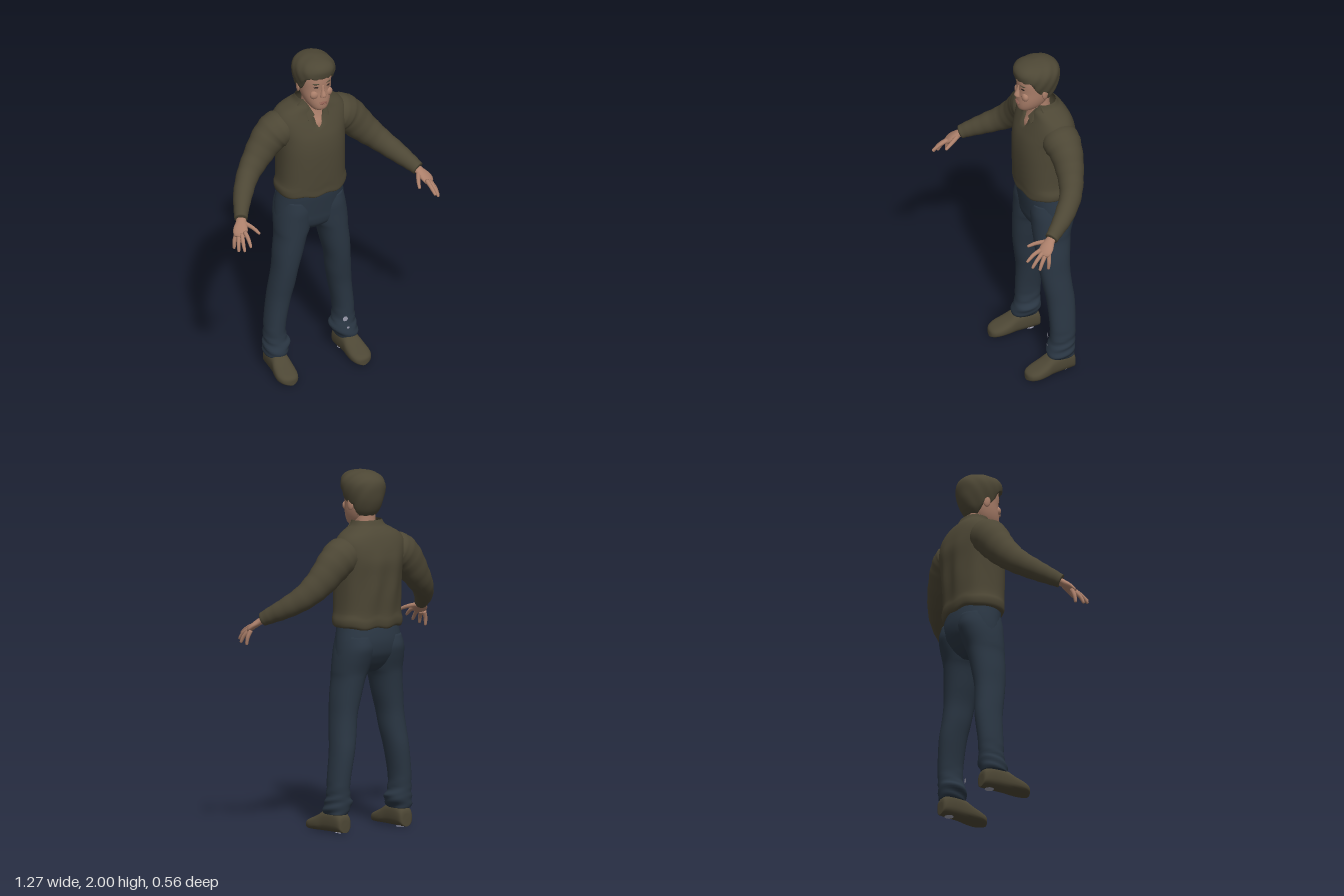
import * as THREE from 'three';

const mat = (name, color, side = THREE.FrontSide) => {
  const m = new THREE.MeshStandardMaterial({ color, side });
  m.name = name;
  return m;
};
const V = (x, y, z) => new THREE.Vector3(x, y, z);

// Catmull-Rom resampling of rows of section numbers
function smoothRows(rows, steps = 4) {
  const out = [], at = i => rows[Math.max(0, Math.min(rows.length - 1, i))];
  for (let i = 0; i < rows.length - 1; i++)
    for (let k = 0; k < steps; k++) {
      const t = k / steps;
      out.push(rows[i].map((b, c) => {
        const a = at(i - 1)[c], d = at(i + 1)[c], e = at(i + 2)[c];
        return b + 0.5 * t * (d - a + t * (2 * a - 5 * b + 4 * d - e + t * (3 * (b - d) + e - a)));
      }));
    }
  out.push(rows[rows.length - 1]);
  return out;
}

// Skin a list of closed rings, with optional caps
function loft(rings, caps = true) {
  const n = rings[0].length, pos = [], idx = [];
  rings.forEach(r => r.forEach(p => pos.push(p.x, p.y, p.z)));
  for (let i = 0; i < rings.length - 1; i++)
    for (let j = 0; j < n; j++) {
      const a = i * n + j, b = i * n + (j + 1) % n, c = b + n, d = a + n;
      idx.push(a, b, c, a, c, d);
    }
  if (caps) [0, rings.length - 1].forEach((r, end) => {
    const c = rings[r].reduce((s, p) => s.add(p), V(0, 0, 0)).divideScalar(n);
    const k = pos.length / 3;
    pos.push(c.x, c.y, c.z);
    for (let j = 0; j < n; j++) {
      const a = r * n + j, b = r * n + (j + 1) % n;
      idx.push(...(end ? [k, a, b] : [k, b, a]));
    }
  });
  const g = new THREE.BufferGeometry();
  g.setAttribute('position', new THREE.Float32BufferAttribute(pos, 3));
  g.setIndex(idx);
  g.computeVertexNormals();
  return g;
}

function ring(c, u, v, ru, rv, n, power = 2) {
  const f = t => Math.sign(t) * Math.pow(Math.abs(t), 2 / power);
  return Array.from({ length: n }, (_, j) => {
    const a = j / n * Math.PI * 2;
    return c.clone().addScaledVector(u, ru * f(Math.cos(a))).addScaledVector(v, rv * f(Math.sin(a)));
  });
}

// Upright body from rows [y, centre x, half width, front z, back z]
function body(rows, { n = 40, power = 2.2, rule, caps = true } = {}) {
  const rings = smoothRows(rows).map(([y, cx, rx, zf, zb]) =>
    ring(V(cx, y, (zf + zb) / 2), V(1, 0, 0), V(0, 0, -1), rx, (zf - zb) / 2, n, power));
  if (rule) rings.forEach(r => r.forEach(rule));
  return loft(rings, caps);
}

// Limb from rows [x, y, z, half width, half height]
function limb(rows, s, n = 20, steps = 4, rule) {
  const pts = smoothRows(rows.map(([x, ...r]) => [x * s, ...r]), steps);
  const p = pts.map(r => V(r[0], r[1], r[2]));
  const rings = pts.map((r, i) => {
    const T = p[Math.min(i + 1, p.length - 1)].clone().sub(p[Math.max(i - 1, 0)]).normalize();
    const u = V(0, 1, 0).cross(T).normalize(), v = T.clone().cross(u);
    const k = rule ? rule(i) : 1;
    return ring(p[i], u, v, r[3] * k, r[4] * k, n);
  });
  return loft(rings);
}

export function createModel() {
  const olive = mat('dark olive cloth and hair', 0x4d4735, THREE.DoubleSide);
  const denim = mat('dark blue trousers', 0x2a3643, THREE.DoubleSide);
  const skin = mat('skin', 0xab7f6a);
  const lip = mat('lips', 0x8d5f52);
  const dark = mat('eyes', 0x2a201c);
  const pale = mat('pale patch', 0x9c9cae, THREE.DoubleSide);
  const model = new THREE.Group();
  const add = (name, geo, m) => {
    const mesh = new THREE.Mesh(geo, m);
    mesh.name = name;
    model.add(mesh);
    return mesh;
  };
  const blob = (name, m, x, y, z, sx, sy, sz, ry = 0) => {
    const b = add(name, new THREE.SphereGeometry(1, 16, 12), m);
    b.position.set(x, y, z);
    b.scale.set(sx, sy, sz);
    b.rotation.y = ry;
  };

  // Shirt, opened in a V at the front, with soft folds on the back and hem
  add('shirt', body([
    [1.13, 0, .18, .02, -.23], [1.14, 0, .2, .034, -.25], [1.175, 0, .206, .036, -.257],
    [1.22, 0, .195, .04, -.255], [1.32, 0, .193, .045, -.264], [1.42, 0, .195, .045, -.27],
    [1.5, 0, .2, .035, -.275], [1.56, 0, .212, .015, -.265], [1.61, 0, .212, -.005, -.25],
    [1.65, 0, .185, -.02, -.232], [1.68, 0, .135, -.025, -.21], [1.7, 0, .1, -.03, -.19],
    [1.728, 0, .085, -.035, -.175]], {
    n: 72, power: 2.4, caps: false,
    rule: p => {
      const fold = Math.max(0, 1 - Math.abs(p.y - 1.35) / .24);
      if (p.z < -.15) p.z += .006 * fold * Math.sin(p.x * 48 + p.y * 6);
      if (p.y < 1.22) p.y += .006 * Math.sin(p.x * 45);
      if (p.z > -.1) p.y = Math.min(p.y, 1.56 + Math.abs(p.x) / .4);
    }
  }), olive);

  // Neck and upper chest
  add('neck', body([[1.52, 0, .08, 0, -.15], [1.58, 0, .08, 0, -.15], [1.62, 0, .074, -.016, -.15],
    [1.66, 0, .066, -.027, -.15], [1.7, 0, .058, -.03, -.145], [1.77, 0, .056, -.03, -.145]]), skin);

  // Head
  add('head', body([[1.685, 0, .028, .02, -.05], [1.7, 0, .047, .04, -.085], [1.73, 0, .066, .046, -.12],
    [1.77, 0, .079, .045, -.145], [1.82, 0, .086, .04, -.165], [1.88, 0, .09, .041, -.175],
    [1.94, 0, .08, .03, -.16], [1.97, 0, .04, 0, -.12]]), skin);
  add('nose', body([[1.781, 0, .012, .046, .02], [1.787, 0, .019, .062, .02], [1.8, 0, .016, .064, .02],
    [1.825, 0, .01, .052, .02], [1.855, 0, .009, .043, .02]], { n: 16 }), skin);
  blob('upper lip', lip, 0, 1.747, .045, .024, .005, .009);
  blob('lower lip', lip, 0, 1.738, .044, .02, .005, .009);
  for (const s of [1, -1]) {
    blob('eye', dark, s * .037, 1.845, .031, .014, .005, .006, s * .4);
    blob('eyebrow', olive, s * .038, 1.866, .031, .02, .004, .006, s * .4);
    blob('cheek', skin, s * .042, 1.795, .02, .027, .027, .02);
    blob('ear', skin, s * .093, 1.815, -.078, .01, .034, .021, s * .3);
  }

  // Hair cap trimmed along a hairline that drops from brow to nape
  const line = [[-.11, 1.75], [-.09, 1.825], [-.05, 1.815], [-.025, 1.845], [.005, 1.905]];
  const hairline = z => {
    if (z <= line[0][0]) return line[0][1];
    for (let i = 1; i < line.length; i++) if (z < line[i][0]) {
      const [a, b] = [line[i - 1], line[i]];
      return THREE.MathUtils.mapLinear(z, a[0], b[0], a[1], b[1]);
    }
    return 1.905;
  };
  add('hair', body([[1.745, 0, .06, 0, -.14], [1.78, 0, .084, .02, -.168], [1.83, 0, .1, .035, -.19],
    [1.88, 0, .112, .05, -.2], [1.92, 0, .114, .059, -.202], [1.95, 0, .105, .06, -.193],
    [1.975, 0, .084, .043, -.168], [1.992, 0, .05, .005, -.13], [2, 0, .01, -.05, -.08]], {
    n: 56, rule: p => {
      p.x += .002 * Math.sin(p.z * 90 + p.y * 60);
      p.y = Math.max(p.y, hairline(p.z) + .004 * Math.sin(p.x * 160));
    }
  }), olive);

  // Trouser seat
  add('trouserSeat', body([[.885, 0, .05, -.05, -.16], [.92, 0, .15, -.012, -.2], [.96, 0, .203, .002, -.228],
    [1.0, 0, .207, .007, -.248], [1.06, 0, .2, .015, -.256], [1.12, 0, .189, .022, -.247],
    [1.16, 0, .183, .022, -.235]]), denim);

  for (const s of [1, -1]) {
    // Collar flap, bent back along the neck
    const flap = new THREE.ExtrudeGeometry(new THREE.Shape([[.07, 1.728], [.102, 1.692], [.062, 1.615], [.026, 1.645], [.05, 1.7]]
      .map(([x, y]) => new THREE.Vector2(x * s, y))), { depth: .008, bevelEnabled: false });
    const fp = flap.attributes.position;
    for (let i = 0; i < fp.count; i++) {
      const x = fp.getX(i), y = fp.getY(i);
      fp.setZ(i, fp.getZ(i) - (y - 1.62) * .45 - x * x * 4);
    }
    flap.computeVertexNormals();
    add('collarFlap', flap, olive);

    // Sleeve with light creases
    add('sleeve', limb([[.13, 1.565, -.125, .09, .08], [.19, 1.54, -.128, .105, .105], [.25, 1.495, -.13, .092, .1],
      [.33, 1.405, -.115, .075, .085], [.41, 1.325, -.075, .062, .07], [.48, 1.262, 0, .054, .058],
      [.53, 1.217, .075, .042, .046], [.555, 1.192, .118, .036, .038]], s, 28, 5,
      i => 1 + .02 * Math.sin(i * 1.9)), olive);

    // Hand: palm, fingers and thumb
    add('palm', limb([[.545, 1.2, .1, .024, .02], [.56, 1.18, .13, .03, .02], [.578, 1.158, .157, .04, .018],
      [.592, 1.137, .178, .038, .015], [.6, 1.127, .188, .028, .009]], s, 20), skin);
    const fingers = {
      thumb: [[.545, 1.175, .14], [.518, 1.162, .19], [.502, 1.145, .232]],
      indexFinger: [[.57, 1.15, .19], [.572, 1.132, .235], [.577, 1.103, .275]],
      middleFinger: [[.585, 1.14, .185], [.6, 1.11, .228], [.606, 1.075, .258]],
      ringFinger: [[.598, 1.13, .175], [.616, 1.095, .205], [.624, 1.06, .222]],
      littleFinger: [[.606, 1.13, .158], [.622, 1.09, .165], [.625, 1.053, .17]]
    };
    for (const [name, [a, b, c]] of Object.entries(fingers)) {
      const tip = c.map((v, i) => v + (v - b[i]) * .12);
      add(name, limb([[...a, .013, .013], [...b, .011, .011], [...c, .008, .008], [...tip, .002, .002]], s, 12), skin);
    }

    // Trouser leg with gathered cuff
    add('trouserLeg', body([[.105, .222, .056, -.035, -.185], [.13, .218, .067, -.03, -.19], [.17, .207, .074, -.042, -.195],
      [.21, .214, .061, -.052, -.195], [.3, .212, .058, -.053, -.2], [.45, .19, .064, -.046, -.205],
      [.55, .175, .069, -.03, -.196], [.65, .163, .07, -.014, -.19], [.75, .147, .08, -.004, -.196],
      [.85, .129, .086, .002, -.207], [.9, .118, .097, .004, -.216], [.97, .107, .103, .006, -.24],
      [1.03, .1, .1, .008, -.254], [1.09, .095, .09, 0, -.24]].map(([y, x, ...r]) => [y, x * s, ...r]), {
      n: 32, rule: p => {
        if (p.y < .26) p.x += .004 * Math.sin(p.y * 130 + p.z * 30);
      }
    }), denim);

    // Shoe: sections run from heel to toe on a flat sole
    const shoe = smoothRows([[-.19, .215, .025, .07], [-.18, .215, .043, .1], [-.13, .217, .05, .125],
      [-.05, .222, .054, .118], [.0, .226, .061, .09], [.05, .229, .062, .068], [.085, .228, .05, .054],
      [.102, .226, .03, .042], [.107, .225, .01, .03]]).map(([z, x, r, h]) =>
      ring(V(x * s, h / 2 + .004, z), V(1, 0, 0), V(0, 1, 0), r, h / 2, 28, 2.6));
    add('shoe', loft(shoe), olive);

    // Worn patch under the heel
    const heel = add('heelPatch', new THREE.CircleGeometry(.026, 12), pale);
    heel.rotation.x = Math.PI / 2;
    heel.position.set(s * .212, .001, -.135);
  }

  // Small worn spots on the left shin
  for (const [x, y, z, r] of [[.187, .232, -.046, .016], [.2, .178, -.036, .008]]) {
    const spot = add('shinPatch', new THREE.CircleGeometry(r, 7), pale);
    spot.position.set(x, y, z);
    spot.rotation.y = -.2;
  }
  return model;
}
